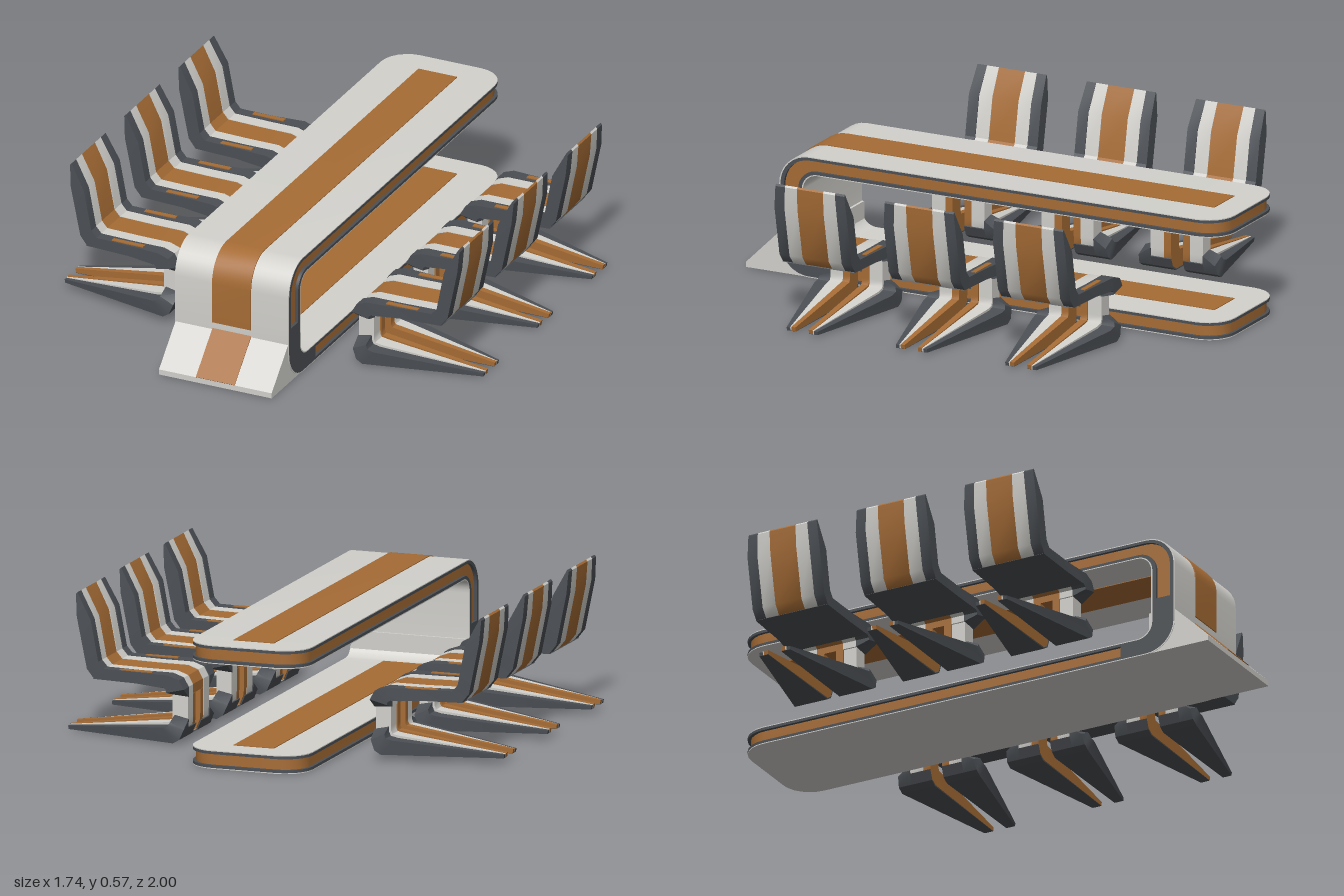
import * as THREE from 'three';
import { toCreasedNormals } from 'three/addons/utils/BufferGeometryUtils.js';

const material = (name, color, side = THREE.FrontSide) => {
  const m = new THREE.MeshStandardMaterial({ color, side });
  m.name = name;
  return m;
};
const panel = material('pale panel', 0xd2d1cc);
const wood = material('brown wood', 0xa66c35);
const trim = material('dark trim', 0x4b4f54);

// Lofts a four-cornered section along a path in the xy plane, with its width along z.
// Each path point p has an outer point o and an inner point i. t = 0 lies on o and t = 1 on i.
function loft(path, t0, t1, zRange) {
  const at = (p, t, z) => [p.o[0] + (p.i[0] - p.o[0]) * t, p.o[1] + (p.i[1] - p.o[1]) * t, z];
  const rings = path.map((p) => {
    const [z0, z1] = zRange(p);
    return [at(p, t0, z0), at(p, t0, z1), at(p, t1, z1), at(p, t1, z0)];
  });
  const pos = [];
  const quad = (a, b, c, d) => pos.push(...a, ...b, ...c, ...a, ...c, ...d);
  for (let k = 0; k < rings.length - 1; k++) {
    for (let j = 0; j < 4; j++) {
      const n = (j + 1) % 4;
      quad(rings[k][j], rings[k][n], rings[k + 1][n], rings[k + 1][j]);
    }
  }
  const [a, b, c, d] = rings[0];
  quad(a, d, c, b);
  quad(...rings[rings.length - 1]);
  const geometry = new THREE.BufferGeometry();
  geometry.setAttribute('position', new THREE.Float32BufferAttribute(pos, 3));
  geometry.computeVertexNormals();
  return toCreasedNormals(geometry, 0.5);
}

function add(group, name, geometry, mat) {
  const mesh = new THREE.Mesh(geometry, mat);
  mesh.name = name;
  group.add(mesh);
  return mesh;
}

// ---------- table ----------
// Quarter bends joining the upper slab, the upright and the lower slab
function bend(top) {
  const points = [];
  for (let k = 0; k <= 8; k++) {
    const a = (k / 8) * Math.PI / 2;
    const f = top ? a : Math.PI / 2 - a;
    const s = top ? 1 : -1;
    const side = Math.sin(f), up = s * Math.cos(f);
    points.push({
      o: [0.74 + 0.12 * side, (top ? 0.35 : 0.12) + 0.12 * up],
      i: [0.70 + 0.06 * side, (top ? 0.34 : 0.13) + 0.06 * up],
      w: 0.235,
    });
  }
  return points;
}
const upperAt = (x, w = 0.235) => ({ o: [x, 0.47], i: [x, 0.40], w });
const lowerAt = (x, w = 0.235) => ({ o: [x, 0], i: [x, 0.07], w });
const uprightAt = (y) => ({ o: [0.86, y], i: [0.76, y], w: 0.235 });

// C-shaped path with rounded free ends; inset pulls the rim inwards
function tablePath(inset) {
  const r = 0.11 - inset;
  const end = (make) => Array.from({ length: 7 }, (_, k) => {
    const a = (k / 6) * Math.PI / 2;
    return make(-1 + inset + r * (1 - Math.cos(a)), 0.125 + r * Math.sin(a));
  });
  const path = [...end(upperAt), ...bend(true), uprightAt(0.22), ...bend(false),
    lowerAt(0.63), ...end(lowerAt).reverse()];
  path.forEach((p, k) => { if (k > 6 && k < 27) p.w = 0.235 - inset; });
  return path;
}

function createTable() {
  const table = new THREE.Group();
  table.name = 'table';
  const full = (p) => [-p.w, p.w];
  const stripe = () => [-0.08, 0.08];
  const rim = tablePath(0), core = tablePath(0.012);

  add(table, 'outerSkin', loft(rim, 0, 0.05, full), panel);
  add(table, 'outerLip', loft(rim, 0.05, 0.2, full), trim);
  add(table, 'innerLip', loft(rim, 0.8, 0.95, full), trim);
  add(table, 'innerSkin', loft(rim, 0.95, 1, full), panel);
  add(table, 'upperEdgeBand', loft(core.slice(0, 17), 0.2, 0.8, full), wood);
  add(table, 'lowerEdgeBand', loft(core.slice(26), 0.2, 0.8, full), wood);
  add(table, 'baseEdge', loft(rim.slice(16, 27), 0.2, 0.8, full), trim);

  // Inlaid stripes
  const topStripe = [upperAt(-0.89), ...bend(true), uprightAt(0.19)];
  add(table, 'topStripe', loft(topStripe, -0.04, 0, stripe), wood);
  add(table, 'undersideStripe', loft([upperAt(-0.89), upperAt(0.69)], 1, 1.04, stripe), wood);
  add(table, 'lowerStripe', loft([lowerAt(0.69), lowerAt(-0.89)], 1, 1.04, stripe), wood);

  // Sloping foot at the front
  const shape = new THREE.Shape([[0.75, 0.001], [1, 0.001], [1, 0.022], [0.855, 0.165], [0.75, 0.165]]
    .map(([x, y]) => new THREE.Vector2(x, y)));
  const wedge = new THREE.ExtrudeGeometry(shape, { depth: 0.466, bevelEnabled: false });
  add(table, 'frontWedge', wedge.translate(0, 0, -0.233), panel);
  const slope = [{ o: [0.858, 0.167], i: [0.855, 0.164] }, { o: [1.002, 0.024], i: [0.999, 0.021] }];
  add(table, 'wedgeStripe', loft(slope, 0, 1, stripe), wood);

  table.rotation.y = -Math.PI / 2;
  return table;
}

// ---------- chair ----------
// Each row: outer x, y; inner x, y; the band limits in z: wood start, wood, panel, trim
const chairPath = [
  [0.803, 0.540, 0.797, 0.547, 0, 0.055, 0.105, 0.145],
  [0.797, 0.455, 0.742, 0.445, 0, 0.055, 0.11, 0.152],
  [0.757, 0.260, 0.712, 0.290, 0, 0.055, 0.11, 0.152],
  [0.730, 0.226, 0.690, 0.265, 0, 0.055, 0.11, 0.152],
  [0.560, 0.222, 0.550, 0.262, 0, 0.055, 0.11, 0.155],
  [0.450, 0.215, 0.430, 0.262, 0, 0.055, 0.11, 0.165],
  [0.437, 0.205, 0.387, 0.247, 0, 0.055, 0.11, 0.165],
  [0.437, 0.195, 0.367, 0.212, 0, 0.055, 0.11, 0.165],
  [0.437, 0.180, 0.367, 0.175, 0.025, 0.055, 0.11, 0.113],
  [0.437, 0.105, 0.367, 0.090, 0.025, 0.055, 0.11, 0.113],
  [0.437, 0.090, 0.369, 0.058, 0.025, 0.055, 0.11, 0.16],
  [0.442, 0.080, 0.385, 0.020, 0.025, 0.055, 0.11, 0.165],
  [0.470, 0.076, 0.410, 0.005, 0.025, 0.055, 0.11, 0.165],
  [0.865, 0.022, 0.862, 0.005, 0.028, 0.045, 0.050, 0.065],
].map(([ox, oy, ix, iy, ...z]) => ({ o: [ox, oy], i: [ix, iy], z }));

function createChair() {
  const chair = new THREE.Group();
  const seat = chairPath.slice(0, 9), post = chairPath.slice(8), foot = chairPath.slice(9);

  add(chair, 'centreStripe', loft(seat, 0, 0.9, () => [-0.055, 0.055]), wood);
  add(chair, 'seatUnderside', loft(chairPath.slice(3, 6), -0.06, 0, (p) => [-p.z[3], p.z[3]]), trim);

  for (const side of [1, -1]) {
    const band = (a, b) => (p) => (side > 0 ? [p.z[a], p.z[b]] : [-p.z[b], -p.z[a]]);
    add(chair, 'sidePanel', loft(seat, 0, 0.94, band(1, 2)), panel);
    add(chair, 'sideTrim', loft(seat, 0, 1, band(2, 3)), trim);
    add(chair, 'postPanel', loft(post, 0.08, 0.94, band(1, 2)), panel);
    add(chair, 'prongStripe', loft(post, 0, 0.92, band(0, 1)), wood);
    add(chair, 'prongWing', loft(foot, 0.2, 1, band(2, 3)), trim);
    add(chair, 'prongUnderside', loft(chairPath.slice(10), 0.94, 1, band(0, 2)), trim);
    // Inlay on the seat edge
    const inlay = add(chair, 'edgeInlay', new THREE.BoxGeometry(0.13, 0.006, 0.02), wood);
    inlay.position.set(0.565, 0.263, side * 0.137);
  }
  return chair;
}

export function createModel() {
  const model = new THREE.Group();
  model.name = 'tableWithChairs';
  model.add(createTable());
  // Three chairs on each side, facing the table
  for (const z of [-0.49, -0.03, 0.43]) {
    const left = createChair();
    left.name = 'leftChair';
    left.position.set(0, 0, z);
    const right = createChair();
    right.name = 'rightChair';
    right.rotation.y = Math.PI;
    right.position.set(-0.005, 0.02, z);
    model.add(left, right);
  }
  return model;
}
